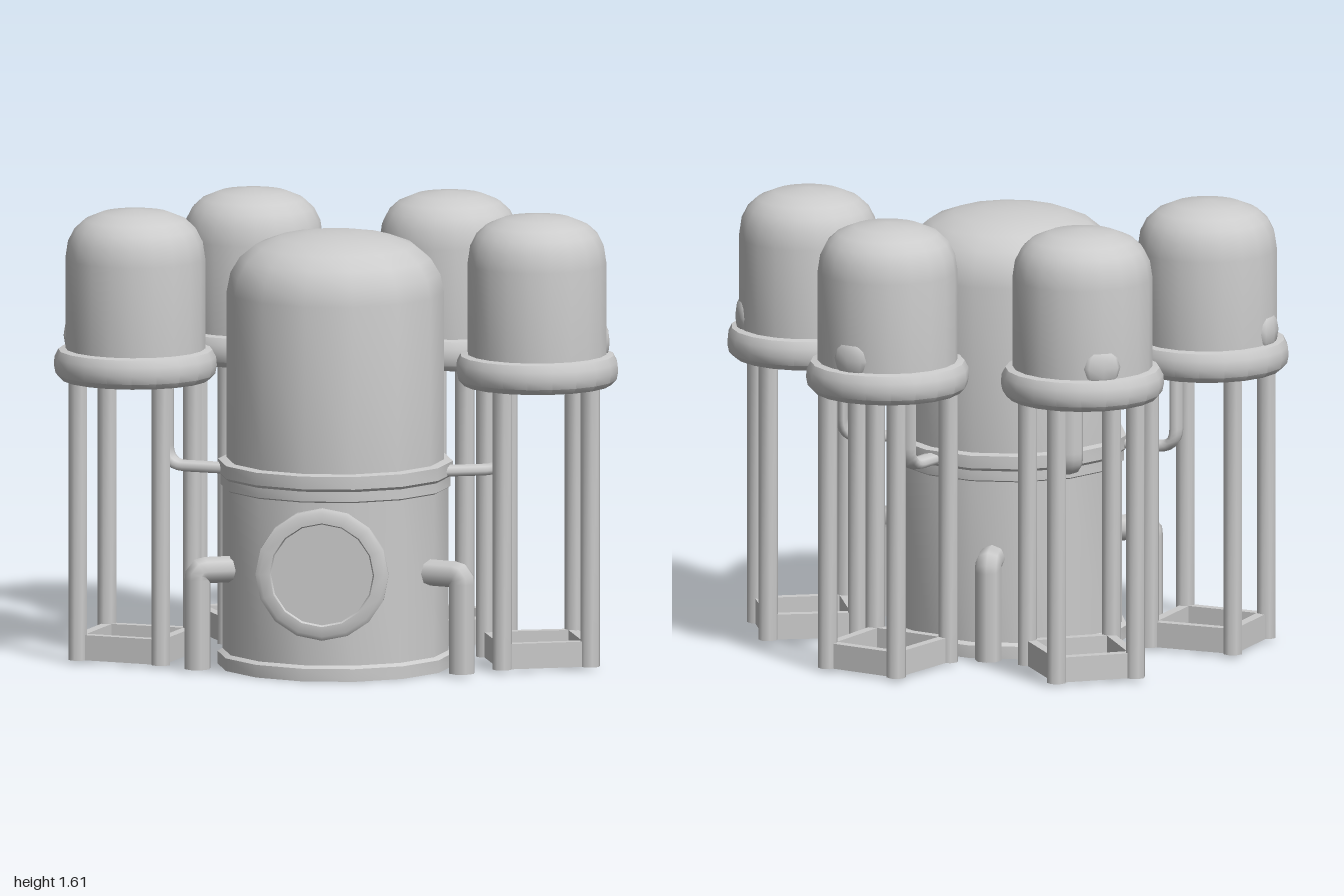
import * as THREE from 'three';
import { toCreasedNormals } from 'three/addons/utils/BufferGeometryUtils.js';

const material = new THREE.MeshStandardMaterial({ color: 0xcccccc, side: THREE.DoubleSide });
const v3 = (x, y, z = 0) => new THREE.Vector3(x, y, z);

// Stand corners, +x being the outer side
const CORNERS = [[0.162, 0.145], [-0.155, 0.155], [-0.155, -0.155], [0.162, -0.145]];

function add(parent, name, geometry) {
  const mesh = new THREE.Mesh(geometry, material);
  mesh.name = name;
  parent.add(mesh);
  return mesh;
}

// Surface of revolution with sharp edges kept
function lathe(points, sides) {
  const profile = points.map(([r, y]) => new THREE.Vector2(r, y));
  return toCreasedNormals(new THREE.LatheGeometry(profile, sides), 0.6);
}

// Tube running along +x, then turning up or down with a rounded corner
function elbow(x0, x1, y, yEnd, bend, radius, sides) {
  const dir = Math.sign(yEnd - y);
  const path = new THREE.CurvePath();
  path.add(new THREE.LineCurve3(v3(x0, y), v3(x1 - bend, y)));
  path.add(new THREE.QuadraticBezierCurve3(v3(x1 - bend, y), v3(x1, y), v3(x1, y + dir * bend)));
  path.add(new THREE.LineCurve3(v3(x1, y + dir * bend), v3(x1, yEnd)));
  return new THREE.TubeGeometry(path, 32, radius, sides, false);
}

// Group whose +x axis points away from the centre line at hubZ
function outwardGroup(parent, name, x, z, hubZ) {
  const group = new THREE.Group();
  group.name = name;
  group.position.set(x, 0, z);
  group.rotation.y = -Math.atan2(z - hubZ, x);
  parent.add(group);
  return group;
}

// Four-sided band around the foot of a stand
function footBand() {
  const ring = (s) => CORNERS.map(([x, z]) => new THREE.Vector2(x * s, z * s));
  const shape = new THREE.Shape(ring(1.06));
  shape.holes.push(new THREE.Path(ring(0.84)));
  const geometry = new THREE.ExtrudeGeometry(shape, { depth: 0.09, bevelEnabled: false });
  return geometry.rotateX(-Math.PI / 2).translate(0, 0.01, 0);
}

export function createModel() {
  const model = new THREE.Group();
  model.name = 'tankCluster';

  // Main tank: foot, body, double band and dome
  const mainTank = add(model, 'mainTank', lathe([
    [0, 0], [0.417, 0], [0.417, 0.045], [0.399, 0.055], [0.399, 0.635],
    [0.406, 0.64], [0.406, 0.675], [0.415, 0.685], [0.415, 0.73], [0.384, 0.735],
    [0.384, 1.33], [0.371, 1.395], [0.338, 1.45], [0.283, 1.495],
    [0.203, 1.525], [0.1, 1.542], [0, 1.545],
  ], 14).rotateY(Math.PI / 2));
  mainTank.position.z = 0.22;

  // Round hatch on the front
  const hatch = add(model, 'frontHatch', lathe([
    [0, 0.3], [0.205, 0.3], [0.205, 0.41], [0.235, 0.415], [0.235, 0.436],
    [0.22, 0.446], [0.185, 0.446], [0.18, 0.436], [0, 0.436],
  ], 16).rotateX(Math.PI / 2));
  hatch.position.set(-0.02, 0.385, 0.22);

  // Three drain pipes that turn down to the ground
  const drainGeometry = elbow(-0.17, 0, 0.36, 0.01, 0.025, 0.047, 8);
  const capGeometry = new THREE.CircleGeometry(0.047, 8).rotateX(Math.PI / 2);
  for (const [x, z] of [[0.462, 0.462], [-0.475, 0.415], [0.02, -0.255]]) {
    const drain = outwardGroup(model, 'drainPipe', x, z, 0.25);
    add(drain, 'drainElbow', drainGeometry);
    add(drain, 'drainCap', capGeometry).position.y = 0.01;
  }

  // Raised tank: hollow underside, rounded rim, wall and dome
  const tankGeometry = lathe([
    [0, 1.05], [0.195, 1.05], [0.195, 1.0], [0.262, 1.0], [0.282, 1.02],
    [0.288, 1.05], [0.285, 1.08], [0.272, 1.105], [0.247, 1.11],
    [0.247, 1.43], [0.238, 1.49], [0.215, 1.535], [0.18, 1.567],
    [0.12, 1.592], [0, 1.605],
  ], 20);
  const legGeometry = toCreasedNormals(new THREE.CylinderGeometry(0.035, 0.035, 1.03, 8), 0.9);
  const bandGeometry = footBand();
  const knobGeometry = new THREE.SphereGeometry(0.07, 8, 6);
  const feedGeometry = elbow(-0.37, -0.12, 0.7, 1.06, 0.07, 0.021, 8).scale(1, 1, 1.9);

  // Four raised tanks around the back
  for (const [x, z] of [[0.71, 0.175], [0.365, -0.36], [-0.33, -0.385], [-0.712, 0.14]]) {
    const unit = outwardGroup(model, 'raisedTank', x, z, 0.36);
    add(unit, 'tankShell', tankGeometry);
    add(unit, 'feedPipe', feedGeometry);
    add(unit, 'footBand', bandGeometry);

    // Legs at the corners of the foot band
    for (const [lx, lz] of CORNERS) add(unit, 'leg', legGeometry).position.set(lx, 0.525, lz);

    // Small knob low on the outer wall
    const knob = add(unit, 'knob', knobGeometry);
    knob.position.set(0.228, 1.15, 0);
    knob.scale.set(0.45, 1, 1.08);
  }

  return model;
}
